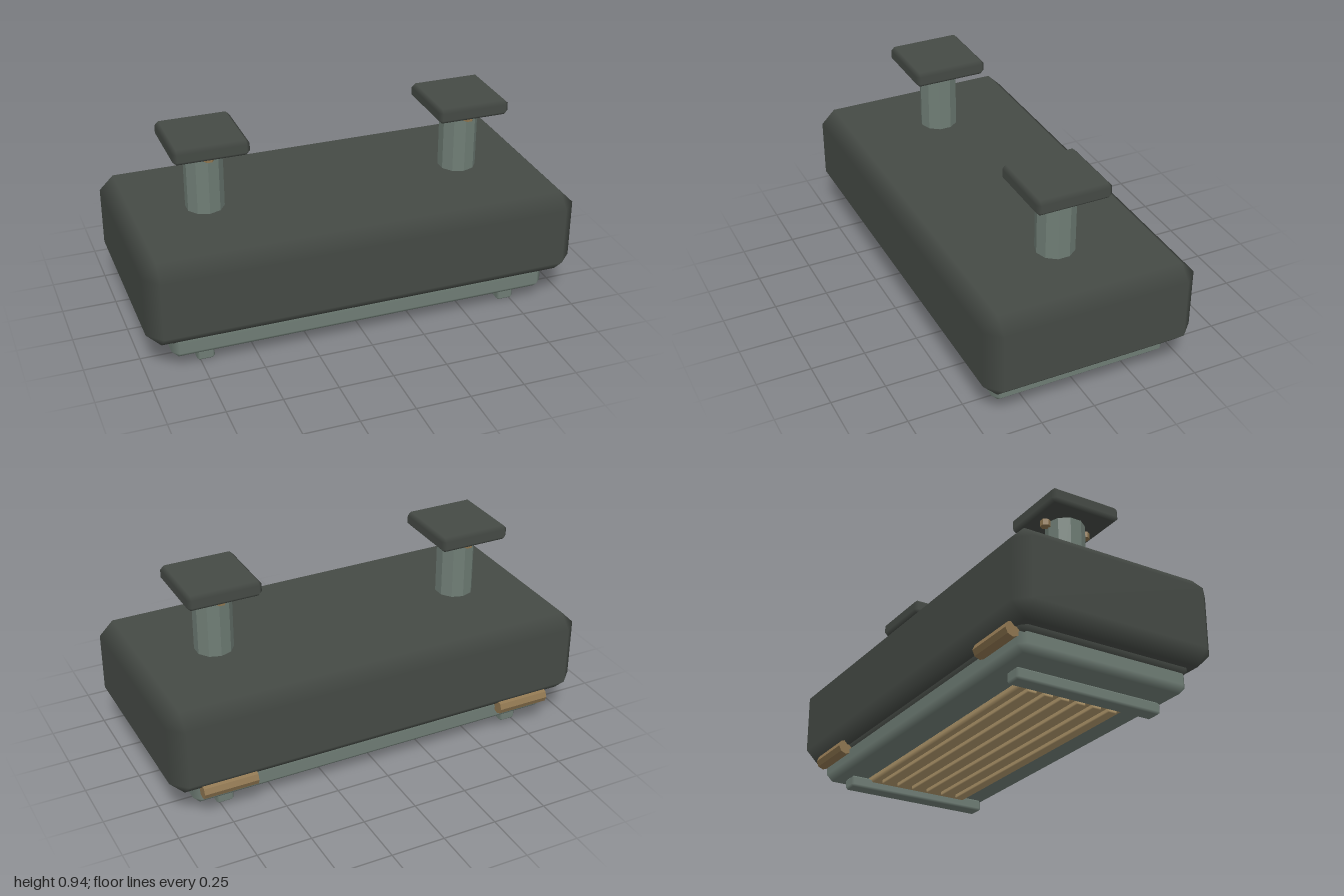
import * as THREE from 'three';
import { ConvexGeometry } from 'three/addons/geometries/ConvexGeometry.js';

const mat = (name, color) => new THREE.MeshStandardMaterial({ name, color });

// Box with 45 degree bevels; flat faces, with shading blended across the bevels.
function bevelBox(w, h, d, bevel) {
  const half = [w / 2, h / 2, d / 2];
  const points = [];
  for (let axis = 0; axis < 3; axis++)
    for (const sx of [-1, 1]) for (const sy of [-1, 1]) for (const sz of [-1, 1]) {
      const p = [sx, sy, sz].map((s, i) => s * (half[i] - (i === axis ? 0 : bevel)));
      points.push(new THREE.Vector3(...p));
    }
  const geo = new ConvexGeometry(points);
  const pos = geo.attributes.position, nor = geo.attributes.normal;
  for (let i = 0; i < pos.count; i++) {
    const p = [pos.getX(i), pos.getY(i), pos.getZ(i)];
    nor.setXYZ(i, ...p.map((v, k) => (Math.abs(v) > half[k] - bevel * 0.5 ? Math.sign(v) : 0)));
  }
  return geo;
}

// Faceted upright prism
function prism(radius, height, sides) {
  const geo = new THREE.CylinderGeometry(radius, radius, height, sides).toNonIndexed();
  geo.computeVertexNormals();
  return geo;
}

export function createModel() {
  const model = new THREE.Group();
  model.name = 'mountedHousing';
  const dark = mat('darkHousing', 0x454a45);
  const green = mat('greyGreenMetal', 0x6f7d75);
  const brass = mat('brass', 0x8f7650);
  const tan = mat('tanPanel', 0xb0976b);

  const add = (name, geo, material, x, y, z) => {
    const mesh = new THREE.Mesh(geo, material);
    mesh.name = name;
    mesh.position.set(x, y, z);
    model.add(mesh);
    return mesh;
  };

  // Housing, gasket and lower tray
  add('housing', bevelBox(2, 0.403, 0.98, 0.065), dark, 0, 0.3685, 0);
  add('gasket', bevelBox(1.81, 0.1, 0.84, 0.03), dark, 0, 0.19, 0);
  add('tray', bevelBox(1.77, 0.11, 0.826, 0.03), green, 0, 0.12, 0);

  // Lower panel with lengthwise slats
  add('panel', bevelBox(1.44, 0.035, 0.52, 0.012), tan, 0, 0.0525, 0);
  for (let i = 0; i < 6; i++)
    add('slat', bevelBox(1.28, 0.03, 0.045, 0.005), tan, 0, 0.033, -0.2 + i * 0.08);

  for (const s of [-1, 1]) {
    const x = s * 0.61;
    // Rail under each end
    add('rail', bevelBox(0.08, 0.053, 0.71, 0.01), green, s * 0.725, 0.0265, 0);
    // Hanging post and mounting plate
    add('post', prism(0.088, 0.34, 10), green, x, 0.71, 0);
    add('mountingPlate', bevelBox(0.34, 0.07, 0.346, 0.017), dark, x, 0.9, 0);
    // Hex bolts below the plate
    for (const z of [-0.103, 0.103])
      add('bolt', prism(0.024, 0.04, 6), brass, x, 0.857, z).rotation.y = Math.PI / 2;
    // Hinge barrel at the back
    add('hinge', prism(0.035, 0.25, 8), brass, s * 0.735, 0.154, -0.432).rotation.z = Math.PI / 2;
  }
  return model;
}
